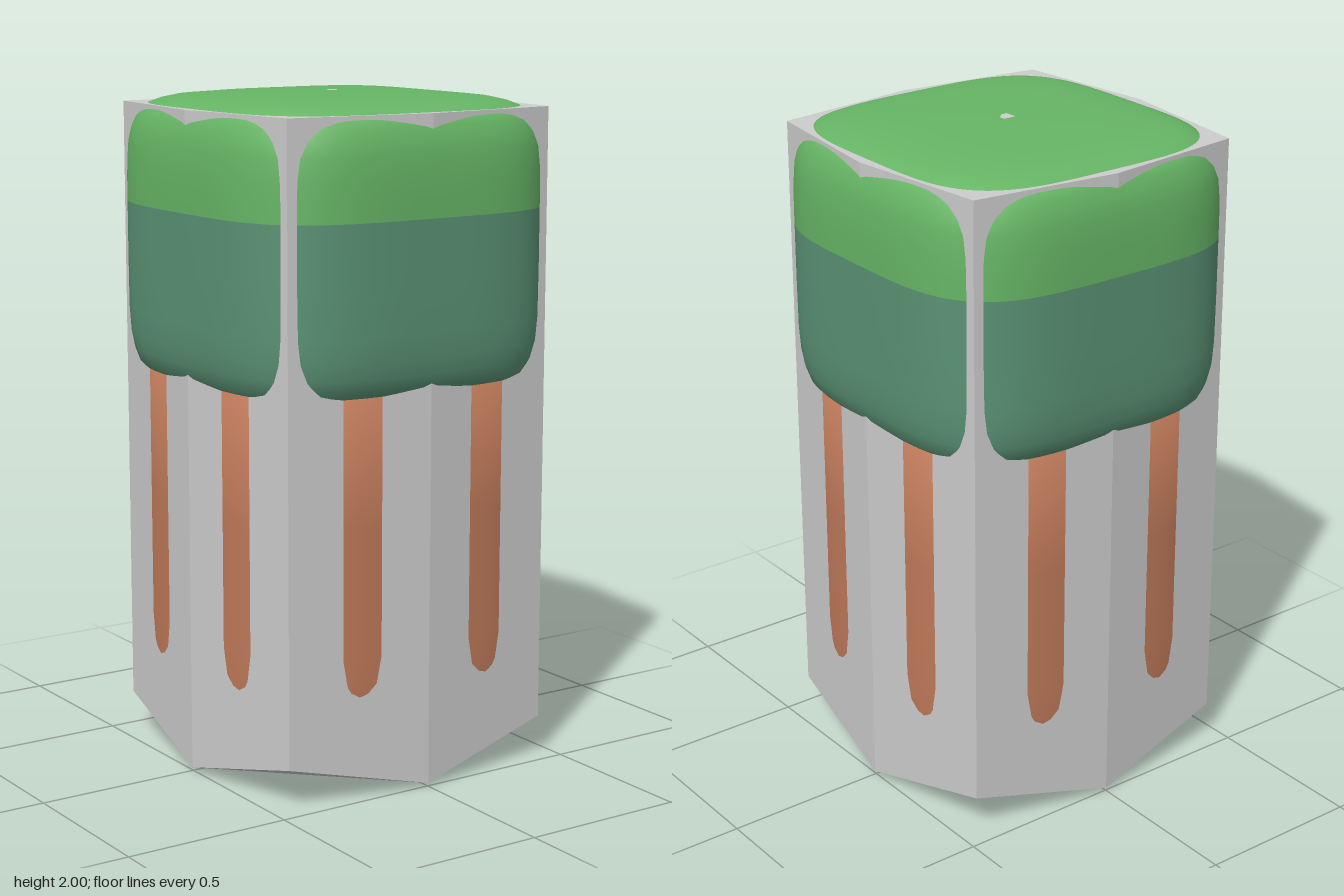
import * as THREE from 'three';
import { mergeVertices } from 'three/addons/utils/BufferGeometryUtils.js';

const mat = (name, color) => {
  const m = new THREE.MeshStandardMaterial({ color });
  m.name = name;
  return m;
};

// Lathe whose round section is squared off into a superellipse
function squircleLathe(profile, lift) {
  const n = 3.8;
  const geo = new THREE.LatheGeometry(profile.map(([r, y]) => new THREE.Vector2(r, y)), 128);
  const p = geo.attributes.position;
  for (let i = 0; i < p.count; i++) {
    const x = p.getX(i), z = p.getZ(i), r = Math.hypot(x, z);
    if (r < 1e-6) continue;
    const c = x / r, s = z / r;
    const k = 1 / Math.pow(Math.abs(c) ** n + Math.abs(s) ** n, 1 / n);
    p.setX(i, x * k);
    p.setZ(i, z * k);
    if (lift) p.setY(i, p.getY(i) + lift(x * k, p.getY(i), z * k));
  }
  geo.deleteAttribute('uv');
  geo.deleteAttribute('normal');
  const merged = mergeVertices(geo, 1e-5);
  merged.computeVertexNormals();
  return merged;
}

// Eight-sided column with its bottom corners cut off
function columnGeometry() {
  const pos = [];
  const point = (k, top) => {
    const a = (k * Math.PI) / 4, corner = k % 2 === 1;
    const r = corner ? 0.45 * Math.SQRT2 : 0.503;
    return [r * Math.cos(a), top ? 1.96 : corner ? 0.12 : 0.01, r * Math.sin(a)];
  };
  const tri = (...pts) => pts.forEach((q) => pos.push(...q));
  for (let k = 0; k < 8; k++) {
    const b0 = point(k, false), b1 = point(k + 1, false);
    const t0 = point(k, true), t1 = point(k + 1, true);
    tri(b1, b0, t0);
    tri(b1, t0, t1);
    tri([0, 1.96, 0], t1, t0);
    if (k % 2 === 0) {
      const b2 = point(k + 2, false);
      tri([0, 0.01, 0], b0, b2);
      tri(b0, b1, b2);
    }
  }
  const geo = new THREE.BufferGeometry();
  geo.setAttribute('position', new THREE.Float32BufferAttribute(pos, 3));
  geo.computeVertexNormals();
  return geo;
}

export function createModel() {
  const model = new THREE.Group();
  model.name = 'blockTree';
  const grey = mat('light grey', 0xcccccc);
  const leaf = mat('leaf green', 0x66b565);
  const teal = mat('dark green', 0x5a9274);
  const bark = mat('bark brown', 0xc07a5a);
  const add = (name, geo, material) => {
    const mesh = new THREE.Mesh(geo, material);
    mesh.name = name;
    model.add(mesh);
    return mesh;
  };

  add('column', columnGeometry(), grey);

  // Trunk shows as stripes on the sides and as lobes underneath
  const trunk = [
    [0, 0], [0.12, 0.001], [0.22, 0.004], [0.3, 0.009], [0.36, 0.026], [0.42, 0.055],
    [0.45, 0.079], [0.47, 0.14], [0.478, 0.2], [0.4834, 0.3], [0.4853, 0.34],
    [0.4864, 0.42], [0.4864, 0.8], [0.4864, 1.25], [0, 1.25],
  ];
  // One corner of the underside stays inside the column
  const lift = (x, y, z) => (y < 0.1 ? 0.4 * Math.max(0, Math.min(-x, z) - 0.17) : 0);
  add('trunk', squircleLathe(trunk, lift), bark);

  // Rounded crown in two colour bands
  add('lowerCrown', squircleLathe([
    [0, 1.12], [0.3, 1.125], [0.42, 1.14], [0.478, 1.165], [0.5, 1.19], [0.513, 1.23],
    [0.521, 1.28], [0.525, 1.35], [0.526, 1.5], [0.526, 1.67],
  ]), teal);
  add('upperCrown', squircleLathe([
    [0.526, 1.67], [0.526, 1.73], [0.525, 1.79], [0.521, 1.85], [0.513, 1.89], [0.5, 1.925],
    [0.487, 1.945], [0.47, 1.96], [0.44, 1.973], [0.4, 1.983], [0.3, 1.993], [0.15, 1.997], [0, 1.998],
  ]), leaf);

  // Small chip at the centre of the top
  const chip = new THREE.Shape([
    [-0.02, -0.02], [0, -0.02], [0.02, 0], [0.02, 0.02], [-0.02, 0.02],
  ].map(([x, y]) => new THREE.Vector2(x, y)));
  const plate = add('topChip', new THREE.ShapeGeometry(chip), grey);
  plate.rotation.x = -Math.PI / 2;
  plate.position.y = 2;
  return model;
}
